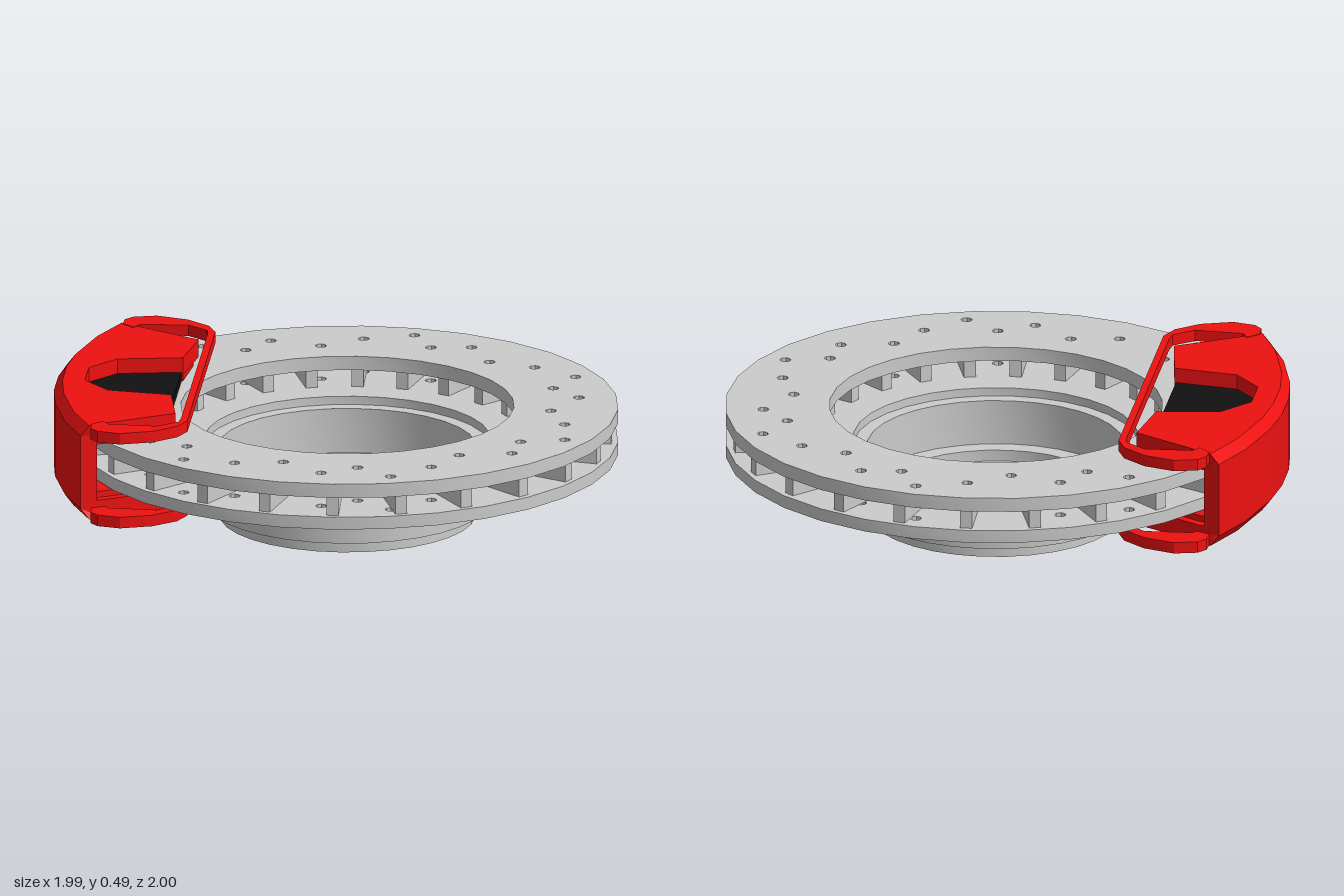
import * as THREE from 'three';
import { toCreasedNormals } from 'three/addons/utils/BufferGeometryUtils.js';

const material = (color) => new THREE.MeshStandardMaterial({ color });
const grey = material(0xcccccc);
const red = material(0xee1111);
const black = material(0x111111);

// Regular polygon as a list of points
function ring(radius, sides, cx = 0, cy = 0) {
  return Array.from({ length: sides }, (_, i) => {
    const a = (i / sides) * Math.PI * 2;
    return new THREE.Vector2(cx + radius * Math.cos(a), cy + radius * Math.sin(a));
  });
}

// Flat plate lying between heights y0 and y1; plan points are (x, -z)
function plate(points, y0, y1, holes = []) {
  const shape = new THREE.Shape(points);
  shape.holes = holes.map((h) => new THREE.Path(h));
  const geo = new THREE.ExtrudeGeometry(shape, { depth: y1 - y0, bevelEnabled: false });
  geo.rotateX(-Math.PI / 2);
  geo.translate(0, y0, 0);
  return geo;
}

function add(parent, name, geo, mat) {
  const mesh = new THREE.Mesh(toCreasedNormals(geo, 0.4), mat);
  mesh.name = name;
  parent.add(mesh);
  return mesh;
}

const lathe = (profile) =>
  new THREE.LatheGeometry(profile.map(([r, y]) => new THREE.Vector2(r, y)), 32);

// Complete a half outline by mirroring it across x = 0
const mirrored = (half) =>
  [...half, ...half.map(([x, y]) => [-x, y]).reverse()].map(([x, y]) => new THREE.Vector2(x, y));

function createDisc() {
  const disc = new THREE.Group();
  disc.name = 'disc';

  // Drill pattern: five holes repeated seven times
  const pattern = [[0, 0.861], [7.3, 0.743], [16.5, 0.81], [28.3, 0.711], [39.8, 0.79]];
  const drilled = [];
  for (let k = 0; k < 7; k++) {
    for (const [deg, r] of pattern) {
      const a = THREE.MathUtils.degToRad(84 - deg - (k * 360) / 7);
      drilled.push(ring(0.02, 8, r * Math.cos(a), r * Math.sin(a)));
    }
  }
  const friction = [ring(0.58, 32), ...drilled];
  add(disc, 'lowerFrictionPlate', plate(ring(0.943, 32), 0.235, 0.28, friction), grey);
  add(disc, 'upperFrictionPlate', plate(ring(0.943, 32), 0.35, 0.4, friction), grey);

  // Cooling vanes between the plates
  for (let i = 0; i < 24; i++) {
    const geo = new THREE.BoxGeometry(0.31, 0.07, 0.042);
    geo.translate(0.765, 0.315, 0);
    geo.rotateY((i / 24) * Math.PI * 2);
    add(disc, 'coolingVane', geo, grey);
  }

  // Hat wall with its flange and inner steps
  add(disc, 'hat', lathe([
    [0.385, 0.045], [0.488, 0.045], [0.488, 0.23], [0.58, 0.23], [0.58, 0.28], [0.497, 0.28],
    [0.497, 0.25], [0.449, 0.25], [0.449, 0.09], [0.385, 0.09], [0.385, 0.045],
  ]), grey);

  // Mounting face with bolt holes and centre bore
  const bolts = [];
  for (let i = 0; i < 5; i++) {
    const a = THREE.MathUtils.degToRad(101.5 + i * 72);
    bolts.push(ring(0.048, 10, 0.32 * Math.cos(a), 0.32 * Math.sin(a)));
  }
  add(disc, 'mountingFace', plate(ring(0.445, 32), 0, 0.05, [ring(0.19, 32), ...bolts]), grey);
  add(disc, 'centreBore', lathe([[0.17, 0], [0.19, 0], [0.19, 0.05], [0.17, 0]]), grey);

  return disc;
}

// One side of the caliper: slab, inner lip, bracket and pad
function createCaliperSide(name) {
  const side = new THREE.Group();
  side.name = name;

  const outer = [[0.615, 0.875], [0.45, 0.945], [0.234, 1.0], [0.08, 1.018]];
  const notch = [[0.075, 0.91], [0.185, 0.82], [0.22, 0.595]];
  const outline = mirrored([...notch, [0.44, 0.56], [0.58, 0.8], ...outer]);
  add(side, 'caliperSlabBase', plate(outline, 0.425, 0.45), red);

  // Upper part of the slab, its curved outer edge chamfered inwards
  const slab = plate(outline, 0.45, 0.488);
  const p = slab.attributes.position;
  for (let i = 0; i < p.count; i++) {
    const onOuter = outer.some(([x, v]) =>
      Math.abs(Math.abs(p.getX(i)) - x) < 1e-4 && Math.abs(p.getZ(i) + v) < 1e-4);
    if (onOuter && p.getY(i) > 0.47) p.setZ(i, p.getZ(i) + 0.03);
  }
  slab.computeVertexNormals();
  add(side, 'caliperSlab', slab, red);

  add(side, 'caliperLip', plate(mirrored([
    ...notch, [0.41, 0.575], [0.54, 0.79], [0.57, 0.85], [0.43, 0.91], [0.22, 0.965], [0.08, 0.985],
  ]), 0.403, 0.425), red);

  // Bracket: rounded ears joined by a thin straight rail
  add(side, 'bracket', plate(mirrored([
    [0.53, 0.51], [0.6, 0.54], [0.667, 0.62], [0.703, 0.73], [0.683, 0.81], [0.65, 0.837],
    [0.6, 0.84], [0.56, 0.8], [0.593, 0.78], [0.602, 0.61], [0.545, 0.54], [0.5, 0.535],
  ]), 0.45, 0.49), red);

  // Brake pad filling the window of the slab
  add(side, 'brakePad', plate(mirrored([[0.08, 0.915], [0.19, 0.825], [0.225, 0.6]]), 0.402, 0.435), black);
  return side;
}

function createCaliper() {
  const caliper = new THREE.Group();
  caliper.name = 'caliper';
  // Curved wall wrapping the rim of the disc
  add(caliper, 'caliperWall', plate(mirrored([
    [0.08, 0.96], [0.22, 0.94], [0.43, 0.89], [0.59, 0.82],
    [0.615, 0.875], [0.45, 0.945], [0.234, 1.0], [0.08, 1.018],
  ]), 0.21, 0.425), red);

  const upper = createCaliperSide('upperCaliperSide');
  const lower = createCaliperSide('lowerCaliperSide');
  lower.rotation.z = Math.PI;
  lower.position.y = 0.635;
  caliper.add(upper, lower);
  caliper.rotation.y = THREE.MathUtils.degToRad(43);
  return caliper;
}

export function createModel() {
  const model = new THREE.Group();
  model.name = 'brakeAssembly';
  model.add(createDisc(), createCaliper());
  model.position.set(0.055, 0, 0.055);
  const root = new THREE.Group();
  root.name = 'brakeDiscWithCaliper';
  root.add(model);
  return root;
}
